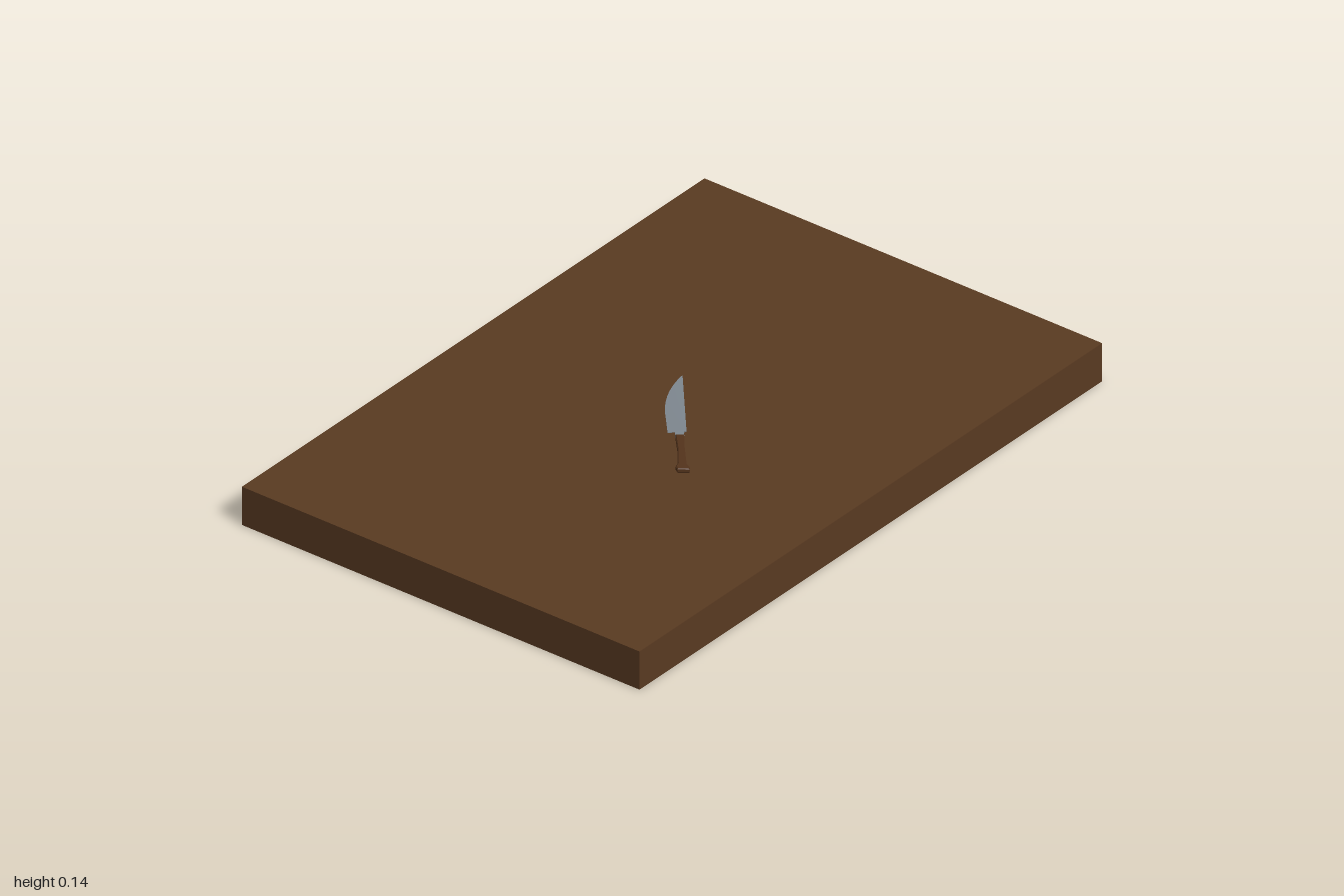
import * as THREE from 'three';

export function createModel() {
  const model = new THREE.Group();
  const mat = (name, color) => {
    const m = new THREE.MeshStandardMaterial({ color });
    m.name = name;
    return m;
  };
  const boardWood = mat('boardWood', 0x5a3b22);
  const handleWood = mat('handleWood', 0x54341c);
  const steel = mat('steel', 0x7f8890);

  // Thick rectangular board
  const board = new THREE.Mesh(new THREE.BoxGeometry(2, 0.12, 1.355), boardWood);
  board.name = 'board';
  board.position.y = 0.06;
  model.add(board);

  // Knife lying flat: local x runs to the tip, local y to the cutting edge, local z up
  const knife = new THREE.Group();
  knife.name = 'knife';
  knife.position.set(-0.064, 0.135, 0.1);
  knife.rotation.set(-Math.PI / 2, 0, 0.705);
  model.add(knife);

  const slab = (name, shape, depth, z, material, bevel = 0) => {
    const geo = new THREE.ExtrudeGeometry(shape, {
      depth: depth - 2 * bevel, curveSegments: 10, bevelEnabled: bevel > 0,
      bevelThickness: bevel, bevelSize: bevel, bevelOffset: -bevel, bevelSegments: 1,
    });
    geo.translate(0, 0, z - (depth - 2 * bevel) / 2);
    const mesh = new THREE.Mesh(geo, material);
    mesh.name = name;
    knife.add(mesh);
    return mesh;
  };

  // Blade with straight spine and curved edge
  const bladeShape = new THREE.Shape();
  bladeShape.moveTo(0, 0);
  bladeShape.lineTo(0.287, 0);
  bladeShape.bezierCurveTo(0.235, 0.034, 0.17, 0.054, 0.1, 0.054);
  bladeShape.lineTo(-0.004, 0.051);
  bladeShape.closePath();
  const blade = slab('blade', bladeShape, 0.004, 0.002, steel);

  // Taper the blade towards its cutting edge and tip
  const p = blade.geometry.attributes.position;
  for (let i = 0; i < p.count; i++) {
    const t = Math.max(p.getY(i) / 0.054, p.getX(i) / 0.287);
    p.setZ(i, 0.002 + (p.getZ(i) - 0.002) * (1 - 0.7 * Math.min(1, Math.max(0, t))));
  }
  blade.geometry.computeVertexNormals();

  // Bolster between blade and handle
  const bolster = new THREE.Mesh(new THREE.BoxGeometry(0.026, 0.024, 0.011), steel);
  bolster.name = 'bolster';
  bolster.position.set(-0.012, 0.019, 0);
  knife.add(bolster);

  // Handle flaring into a pommel
  const handleShape = new THREE.Shape([
    [-0.02, 0.007], [-0.02, 0.031], [-0.09, 0.028], [-0.165, 0.03], [-0.182, 0.036],
    [-0.197, 0.032], [-0.199, -0.001], [-0.185, -0.002], [-0.168, 0.006], [-0.09, 0.008],
  ].map(([x, y]) => new THREE.Vector2(x, y)));
  slab('handle', handleShape, 0.015, 0, handleWood, 0.003);

  return model;
}
